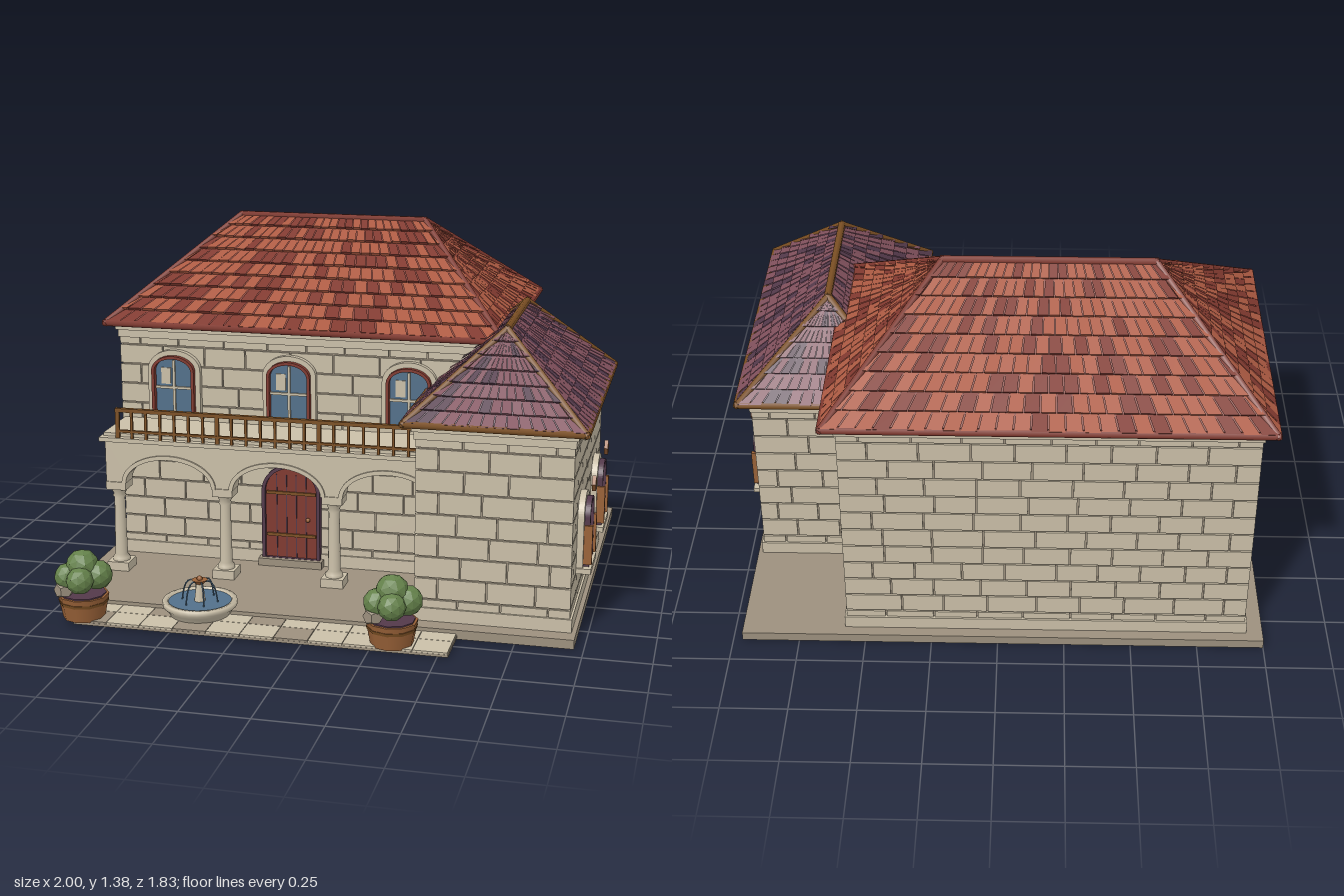
import * as THREE from 'three';
import { mergeGeometries } from 'three/addons/utils/BufferGeometryUtils.js';

export function createModel() {
  const model = new THREE.Group();
  const mat = (name, color) => {
    const m = new THREE.MeshStandardMaterial({ color });
    m.name = name;
    return m;
  };
  const sand = mat('sandstone', 0xcabfa8), stone = mat('dark stone', 0x9c907e);
  const red = mat('terracotta', 0xac5a42), darkRed = mat('dark terracotta', 0x80392f);
  const plum = mat('plum tile', 0x80505c), darkPlum = mat('dark plum', 0x53394a);
  const timber = mat('timber', 0x7c5024), copper = mat('copper wood', 0x9a6238);
  const glass = mat('blue glass', 0x52708a), leaf = mat('leaf green', 0x64814a);
  leaf.flatShading = true;

  let seed = 7;
  const rnd = () => (seed = (seed * 16807) % 2147483647) / 2147483647;
  const V = (x, y, z) => new THREE.Vector3(x, y, z);
  const add = (name, geo, m, parent = model, x = 0, y = 0, z = 0) => {
    const mesh = new THREE.Mesh(geo, m);
    mesh.name = name;
    mesh.position.set(x, y, z);
    parent.add(mesh);
    return mesh;
  };
  const group = (name, x = 0, y = 0, z = 0) => {
    const g = new THREE.Group();
    g.name = name;
    g.position.set(x, y, z);
    model.add(g);
    return g;
  };
  // box given by its limits
  const boxGeo = (x0, x1, y0, y1, z0, z1) =>
    new THREE.BoxGeometry(x1 - x0, y1 - y0, z1 - z0).translate((x0 + x1) / 2, (y0 + y1) / 2, (z0 + z1) / 2);
  const box = (name, m, parent, ...b) => add(name, boxGeo(...b), m, parent);
  const extrude = (shape, depth) =>
    new THREE.ExtrudeGeometry(shape, { depth, bevelEnabled: false, curveSegments: 14 });
  const beam = (name, a, b, r, m, parent) => {
    const d = b.clone().sub(a);
    const mesh = add(name, new THREE.CylinderGeometry(r, r, d.length() + r, 6), m, parent);
    mesh.position.copy(a).add(b).multiplyScalar(0.5);
    mesh.quaternion.setFromUnitVectors(V(0, 1, 0), d.normalize());
  };

  // Terrace slab and tiled path
  box('terraceSlab', stone, model, -1, 0.965, 0, 0.035, -0.895, 0.68);
  box('pathBase', stone, model, -0.87, 0.54, 0.004, 0.014, 0.66, 0.865);
  const darkTiles = [[0, 1], [3, 1], [5, 0], [6, 1], [2, 0]].map(String);
  for (let i = 0; i < 11; i++) for (let j = 0; j < 2; j++) {
    const x = -0.87 + i * 0.128, z = 0.645 + j * 0.11;
    box('pathTile', darkTiles.includes(String([i, j])) ? stone : sand, model,
      x + 0.001, x + 0.127, 0.014, 0.021, z + 0.001, z + 0.109);
  }

  // Block walls: recessed joint core covered with staggered stones
  function walls(name, x0, x1, y0, y1, z0, z1) {
    const g = group(name), geos = [], t = 0.008, gap = 0.003;
    box('jointCore', stone, g, x0 + t, x1 - t, y0, y1, z0 + t, z1 - t);
    const rows = Math.round((y1 - y0) / 0.08), h = (y1 - y0) / rows;
    const course = (a, b, y, odd, place) => {
      for (let p = a, first = odd; p < b - 0.001; first = false) {
        let q = p + (first ? 0.085 : 0.15 + rnd() * 0.04);
        if (b - q < 0.06) q = b;
        geos.push(place(p === a ? p : p + gap, q === b ? q : q - gap, y + gap, y + h - gap));
        p = q;
      }
    };
    for (let r = 0; r < rows; r++) {
      const y = y0 + r * h, odd = r % 2 === 1;
      for (const z of [z0, z1 - 2 * t]) course(x0, x1, y, odd, (p, q, a, b) => boxGeo(p, q, a, b, z, z + 2 * t));
      for (const x of [x0, x1 - 2 * t]) course(z0, z1, y, !odd, (p, q, a, b) => boxGeo(x, x + 2 * t, a, b, p, q));
    }
    add('wallStones', mergeGeometries(geos), sand, g);
    // plinth and stepped cornice
    const band = (n, o, a, b) => box(n, sand, g, x0 - o, x1 + o, a, b, z0 - o, z1 + o);
    band('plinth', 0.008, y0, y0 + 0.05);
    band('lowerCornice', 0.006, y1 - 0.05, y1 - 0.02);
    band('upperCornice', 0.014, y1 - 0.02, y1);
  }
  walls('mainWalls', -0.93, 0.57, 0.035, 0.985, -0.845, 0.125);
  walls('wingWalls', 0.366, 0.94, 0.035, 0.775, -0.425, 0.605);

  // Hipped roof with staggered tapering tiles; tops[i] is the ridge end above corner i
  function roof(name, x0, x1, z0, z1, y, tops, rows, cols, mats, trim, darkShare) {
    const g = group(name);
    const c = [V(x0, y, z1), V(x1, y, z1), V(x1, y, z0), V(x0, y, z0)];
    const data = [[], [], []];
    const quad = (out, a, b, d, e) => [a, b, d, a, d, e].forEach((p) => out.push(p.x, p.y, p.z));
    for (let i = 0; i < 4; i++) {
      const k = (i + 1) % 4, A = c[i], B = c[k], C = tops[k], D = tops[i];
      quad(data[2], A, B, C, D);
      const n = B.clone().sub(A).cross(D.clone().sub(A)).normalize();
      const at = (u, v, lift) => A.clone().lerp(B, u).lerp(D.clone().lerp(C, u), v).addScaledVector(n, lift);
      for (let r = 0; r < rows; r++) {
        const v0 = r / rows, v1 = (r + 1) / rows, N = cols[i % 2];
        for (let j = 0; j <= N; j++) {
          const shift = r % 2 ? 0.5 : 0;
          const u0 = Math.max(0, (j - shift + 0.04) / N), u1 = Math.min(1, (j + 1 - shift - 0.04) / N);
          if (u1 - u0 < 0.002) continue;
          const out = data[rnd() < darkShare ? 1 : 0], low = 0.011 + rnd() * 0.005;
          const p = at(u0, v0, low), q = at(u1, v0, low);
          quad(out, p, q, at(u1, v1, 0.003), at(u0, v1, 0.003));
          quad(out, at(u0, v0, 0), at(u1, v0, 0), q, p);
        }
      }
      beam('eaveTrim', A, B, 0.014, trim, g);
      beam('hipTrim', A, D, 0.014, trim, g);
    }
    beam('ridgeTrim', tops[0], tops[2], 0.015, trim, g);
    data.forEach((d, i) => {
      const geo = new THREE.BufferGeometry();
      geo.setAttribute('position', new THREE.Float32BufferAttribute(d, 3));
      geo.computeVertexNormals();
      add(['lightTiles', 'darkTiles', 'roofDeck'][i], geo, mats[Math.min(i, 1)], g);
    });
    box('soffit', mats[1], g, x0, x1, y - 0.014, y - 0.001, z0, z1);
  }
  const L = V(-0.56, 1.368, -0.36), R = V(0.21, 1.368, -0.36);
  roof('mainRoof', -0.97, 0.615, -0.9, 0.175, 1.0, [L, R, R, L], 9, [26, 20], [red, darkRed], darkRed, 0.38);
  const F = V(0.655, 1.092, 0.353), K = V(0.655, 1.092, -0.18);
  roof('wingRoof', 0.325, 0.983, -0.47, 0.645, 0.788, [F, F, K, K], 7, [14, 22], [plum, darkPlum], timber, 0.25);

  // Arched opening outlines
  const arch = (w, h, rise, y0 = 0) => {
    const s = new THREE.Shape();
    s.moveTo(-w / 2, y0).lineTo(w / 2, y0).lineTo(w / 2, h - rise);
    s.absellipse(0, h - rise, w / 2, rise, 0, Math.PI);
    return s.closePath();
  };
  const archRing = (w, h, rise, t, depth) => {
    const s = arch(w + 2 * t, h + t, rise + t);
    s.holes.push(arch(w, h, rise, 0.001));
    return extrude(s, depth);
  };

  // Windows, modelled facing +z with the sill at y = 0
  function windowAt(name, x, y, z, turn, w, h, rise, ornate) {
    const g = group(name, x, y, z);
    g.rotation.y = turn;
    add('stoneSurround', archRing(w, h, rise, 0.02, 0.024), sand, g);
    add('frame', archRing(w - 0.024, h - 0.012, rise - 0.01, 0.012, 0.045), ornate ? darkPlum : darkRed, g);
    add('glass', extrude(arch(w - 0.024, h - 0.012, rise - 0.01), 0.02), glass, g);
    box('mullion', sand, g, -0.005, 0.005, 0, h - 0.02, 0.02, 0.028);
    box('transom', sand, g, -w / 2 + 0.01, w / 2 - 0.01, h * 0.42, h * 0.42 + 0.01, 0.02, 0.028);
    box('blind', sand, g, -w * 0.3, -w * 0.08, h * 0.5, h * 0.78, 0.02, 0.025);
    box('sill', sand, g, -w / 2 - 0.03, w / 2 + 0.03, -0.02, 0, 0, 0.055);
    if (!ornate) return;
    for (const s of [-1, 1])
      add('shutter', new THREE.BoxGeometry(0.016, 0.15, 0.05), copper, g, s * w * 0.5, 0.085, 0.03);
    const d = new THREE.Shape([[0, -0.03], [0.023, 0], [0, 0.03], [-0.023, 0]].map((p) => new THREE.Vector2(...p)));
    add('diamond', extrude(d, 0.015), copper, g, 0, h + 0.05, 0.04);
  }
  for (const x of [-0.7, -0.228, 0.25]) windowAt('upperWindow', x, 0.64, 0.125, 0, 0.175, 0.235, 0.06, false);
  for (const z of [0.34, -0.155]) windowAt('wingWindow', 0.94, 0.222, z, Math.PI / 2, 0.15, 0.25, 0.06, true);

  // Front door
  const door = group('frontDoor', -0.225, 0.065, 0.125);
  add('doorLeaf', extrude(arch(0.21, 0.375, 0.1), 0.015), darkRed, door);
  add('doorFrame', archRing(0.21, 0.375, 0.1, 0.014, 0.03), darkPlum, door);
  for (const x of [-0.06, -0.02, 0.02, 0.06]) box('plankJoint', darkPlum, door, x - 0.002, x + 0.002, 0, 0.345, 0.015, 0.018);
  for (const y of [0.095, 0.27]) box('strap', timber, door, -0.1, 0.1, y - 0.006, y + 0.006, 0.015, 0.022);
  add('knob', new THREE.SphereGeometry(0.009, 10, 8), copper, door, 0.07, 0.165, 0.025);
  box('doorStep', stone, door, -0.13, 0.13, -0.03, 0, 0, 0.05);

  // Arcade carrying the balcony
  const arcade = group('arcade');
  const centres = [-0.662, -0.225, 0.212];
  const s = new THREE.Shape();
  s.moveTo(-0.92, 0.4);
  for (const x of centres) s.lineTo(x - 0.175, 0.4).absellipse(x, 0.4, 0.175, 0.105, Math.PI, 0, true);
  s.lineTo(0.39, 0.4).lineTo(0.39, 0.58).lineTo(-0.92, 0.58).closePath();
  add('archWall', extrude(s, 0.07), sand, arcade, 0, 0, 0.285);
  for (const x of centres) {
    const ring = new THREE.Shape().absellipse(x, 0.4, 0.192, 0.122, 0, Math.PI);
    ring.absellipse(x, 0.4, 0.175, 0.105, Math.PI, 0, true);
    add('archMoulding', extrude(ring, 0.008), sand, arcade, 0, 0, 0.355);
  }
  box('balconyFloor', sand, arcade, -0.92, 0.37, 0.58, 0.605, 0.12, 0.368);
  box('balconyEdge', sand, arcade, -0.93, 0.37, 0.575, 0.592, 0.12, 0.395);
  const shaft = [[0.034, 0], [0.034, 0.012], [0.025, 0.025], [0.021, 0.26], [0.027, 0.268], [0.022, 0.275], [0.034, 0.3]];
  for (const x of [-0.88, -0.444, -0.006]) {
    box('columnPlinth', sand, arcade, x - 0.044, x + 0.044, 0.035, 0.07, 0.276, 0.364);
    add('columnShaft', new THREE.LatheGeometry(shaft.map((p) => new THREE.Vector2(...p)), 14), sand, arcade, x, 0.07, 0.32);
    box('columnCapital', sand, arcade, x - 0.04, x + 0.04, 0.37, 0.402, 0.28, 0.36);
  }

  // Balcony railing
  const rail = group('railing');
  box('topRail', timber, rail, -0.86, 0.366, 0.697, 0.712, 0.377, 0.395);
  box('bottomRail', timber, rail, -0.86, 0.366, 0.615, 0.625, 0.38, 0.392);
  for (let i = 0; i < 22; i++) {
    const x = -0.853 + i * 0.0575, w = i % 7 ? 0.005 : 0.008;
    box('baluster', timber, rail, x - w, x + w, 0.592, 0.7, 0.381, 0.391);
  }

  // Fountain
  const fountain = group('fountain', -0.435, 0.015, 0.685);
  const lathe = (pts, n) => new THREE.LatheGeometry(pts.map((p) => new THREE.Vector2(...p)), n);
  add('basin', lathe([[0.11, 0], [0.125, 0.025], [0.14, 0.04], [0.14, 0.058], [0.12, 0.058], [0.115, 0.03], [0, 0.03]], 28), sand, fountain);
  add('water', new THREE.CylinderGeometry(0.122, 0.122, 0.008, 28), glass, fountain, 0, 0.049, 0);
  add('pedestal', new THREE.CylinderGeometry(0.012, 0.022, 0.08, 10), sand, fountain, 0, 0.085, 0);
  add('bowl', new THREE.CylinderGeometry(0.03, 0.014, 0.016, 12), copper, fountain, 0, 0.128, 0);
  add('finial', new THREE.SphereGeometry(0.011, 10, 8), copper, fountain, 0, 0.14, 0);
  for (let i = 0; i < 6; i++) {
    const jet = new THREE.QuadraticBezierCurve3(V(0.02, 0.13, 0), V(0.06, 0.15, 0), V(0.07, 0.05, 0));
    add('jet', new THREE.TubeGeometry(jet, 8, 0.003, 5), glass, fountain).rotation.y = i * Math.PI / 3;
  }

  // Planters with clipped shrubs
  const blobs = [[0, 0.205, 0, 0.062], [-0.05, 0.165, 0.02, 0.052], [0.055, 0.17, -0.01, 0.056],
    [0.01, 0.165, 0.055, 0.052], [0, 0.16, -0.05, 0.052]];
  for (const x of [-0.85, 0.325]) {
    const p = group('planter', x, 0.01, 0.805);
    add('tub', new THREE.CylinderGeometry(0.095, 0.078, 0.09, 10), copper, p, 0, 0.051, 0);
    add('tubBand', new THREE.CylinderGeometry(0.094, 0.091, 0.012, 10), timber, p, 0, 0.07, 0);
    add('soil', new THREE.CylinderGeometry(0.085, 0.085, 0.006, 10), darkPlum, p, 0, 0.098, 0);
    for (const [bx, by, bz, r] of blobs)
      add('shrub', new THREE.IcosahedronGeometry(r, 1), leaf, p, bx, by, bz).rotation.y = bx * 20;
    add('rock', new THREE.DodecahedronGeometry(0.04), stone, p, -0.06, 0.12, 0.035);
  }
  return model;
}
